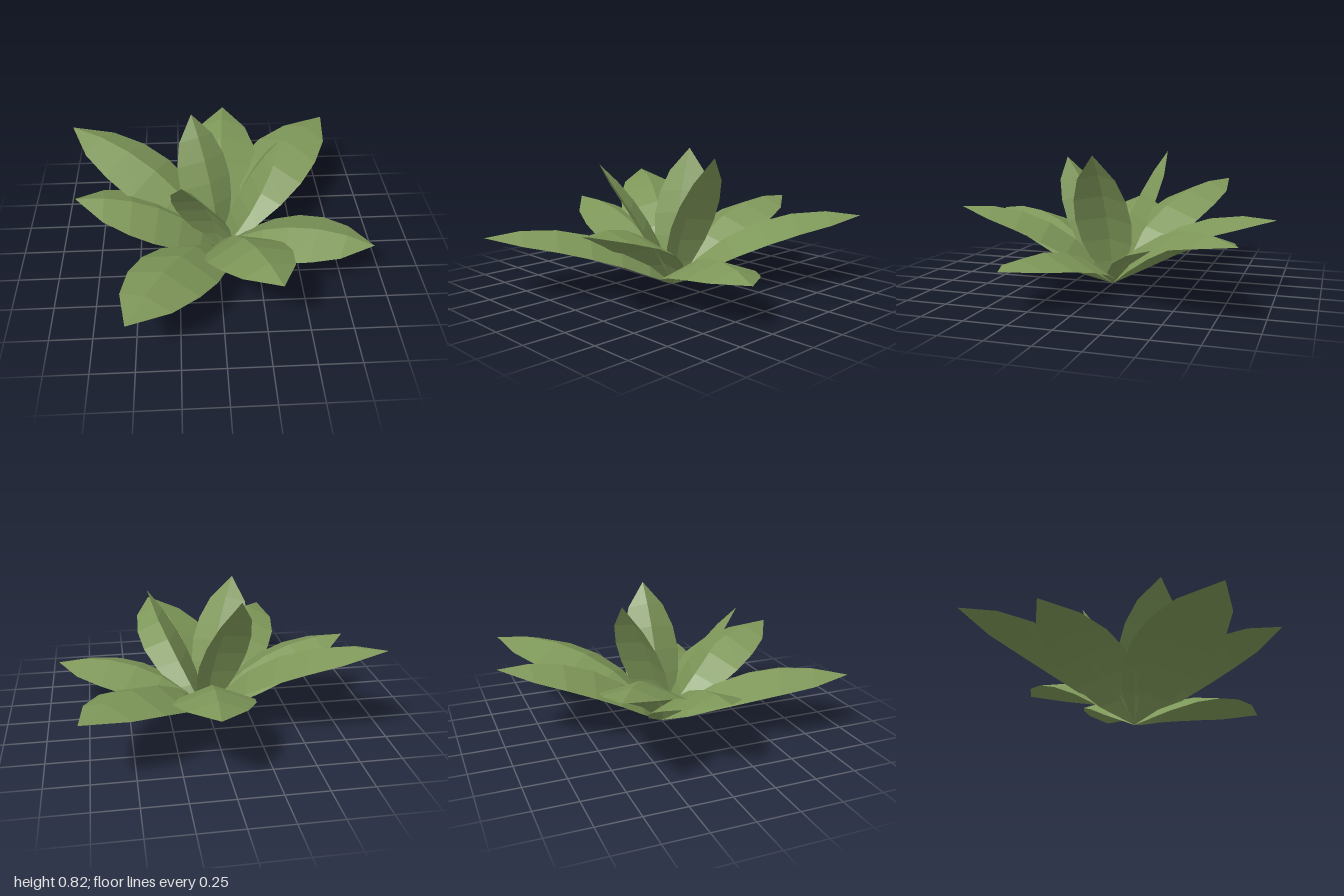
import * as THREE from 'three';

const SEGMENTS = 6;
const FOLD = 0.36; // how far the edges fall away from the midrib, per unit of width

// One arched leaf: the midrib is a circular arc from the base to the tip that turns
// through the bend angle, with a side folded down on each hand.
function leafGeometry(tip, bendDegrees, halfWidth) {
  const [tx, ty, tz] = tip;
  const radius = Math.hypot(tx, tz);
  const bend = THREE.MathUtils.degToRad(bendDegrees);
  const startPitch = Math.atan2(ty, radius) + bend / 2;
  const arcRadius = Math.hypot(radius, ty) / (2 * Math.sin(bend / 2));
  const out = new THREE.Vector3(tx, 0, tz).divideScalar(radius);
  const side = new THREE.Vector3(-out.z, 0, out.x);
  const place = (across, outward, up) =>
    new THREE.Vector3(0, up, 0).addScaledVector(out, outward).addScaledVector(side, across);

  // Rows of left edge, midrib and right edge, evenly spaced along the leaf
  const rows = [];
  for (let i = 0; i <= SEGMENTS; i++) {
    const t = i / SEGMENTS;
    const pitch = startPitch - bend * t;
    const outward = arcRadius * (Math.sin(startPitch) - Math.sin(pitch));
    const up = arcRadius * (Math.cos(pitch) - Math.cos(startPitch));
    const pointed = i === 0 || i === SEGMENTS;
    const w = pointed ? 0 : halfWidth * Math.sin(Math.PI * t ** 1.05) ** 0.65;
    rows.push([-1, 0, 1].map((s) => {
      const drop = Math.abs(s) * w * FOLD;
      return place(s * w, outward + drop * Math.sin(pitch), up - drop * Math.cos(pitch));
    }));
  }

  // Two strips of faces, with single triangles at the pointed ends
  const points = [];
  for (let i = 0; i < SEGMENTS; i++) {
    for (const s of [0, 1]) {
      const [a, b] = [rows[i][s], rows[i][s + 1]];
      const [c, d] = [rows[i + 1][s], rows[i + 1][s + 1]];
      if (i === 0) points.push(a, d, c);
      else if (i === SEGMENTS - 1) points.push(a, b, c);
      else if (s === 0) points.push(a, b, d, a, d, c);
      else points.push(a, b, c, b, d, c);
    }
  }
  const geometry = new THREE.BufferGeometry().setFromPoints(points);
  geometry.computeVertexNormals();
  return geometry;
}

export function createModel() {
  const group = new THREE.Group();
  group.name = 'leafyPlant';
  const leafGreen = new THREE.MeshStandardMaterial({
    color: 0x7d9658, flatShading: true, side: THREE.DoubleSide,
  });
  leafGreen.name = 'leafGreen';

  // Each leaf: tip measured from the base, bend in degrees, half width
  const outer = [
    [[0.075, 0.46, -1.0], 69, 0.245],
    [[0.775, 0.43, -0.88], 66, 0.25],
    [[0.92, 0.255, 0.33], 66, 0.24],
    [[0.29, 0.49, 0.88], 68, 0.243],
    [[-0.54, 0.365, 1.0], 63, 0.25],
    [[-0.88, 0.46, 0.04], 60, 0.245],
    [[-0.94, 0.59, -0.57], 63, 0.238],
  ];
  const inner = [
    [[-0.23, 0.77, 0.387], 36, 0.182],
    [[0.355, 0.825, 0.01], 32, 0.178],
    [[-0.16, 0.825, -0.305], 32, 0.18],
  ];
  const addLeaves = (name, leaves) => leaves.forEach(([tip, bend, halfWidth], i) => {
    const leaf = new THREE.Mesh(leafGeometry(tip, bend, halfWidth), leafGreen);
    leaf.name = `${name}${i + 1}`;
    leaf.position.x = 0.01;
    group.add(leaf);
  });
  addLeaves('outerLeaf', outer);
  addLeaves('innerLeaf', inner);
  return group;
}
